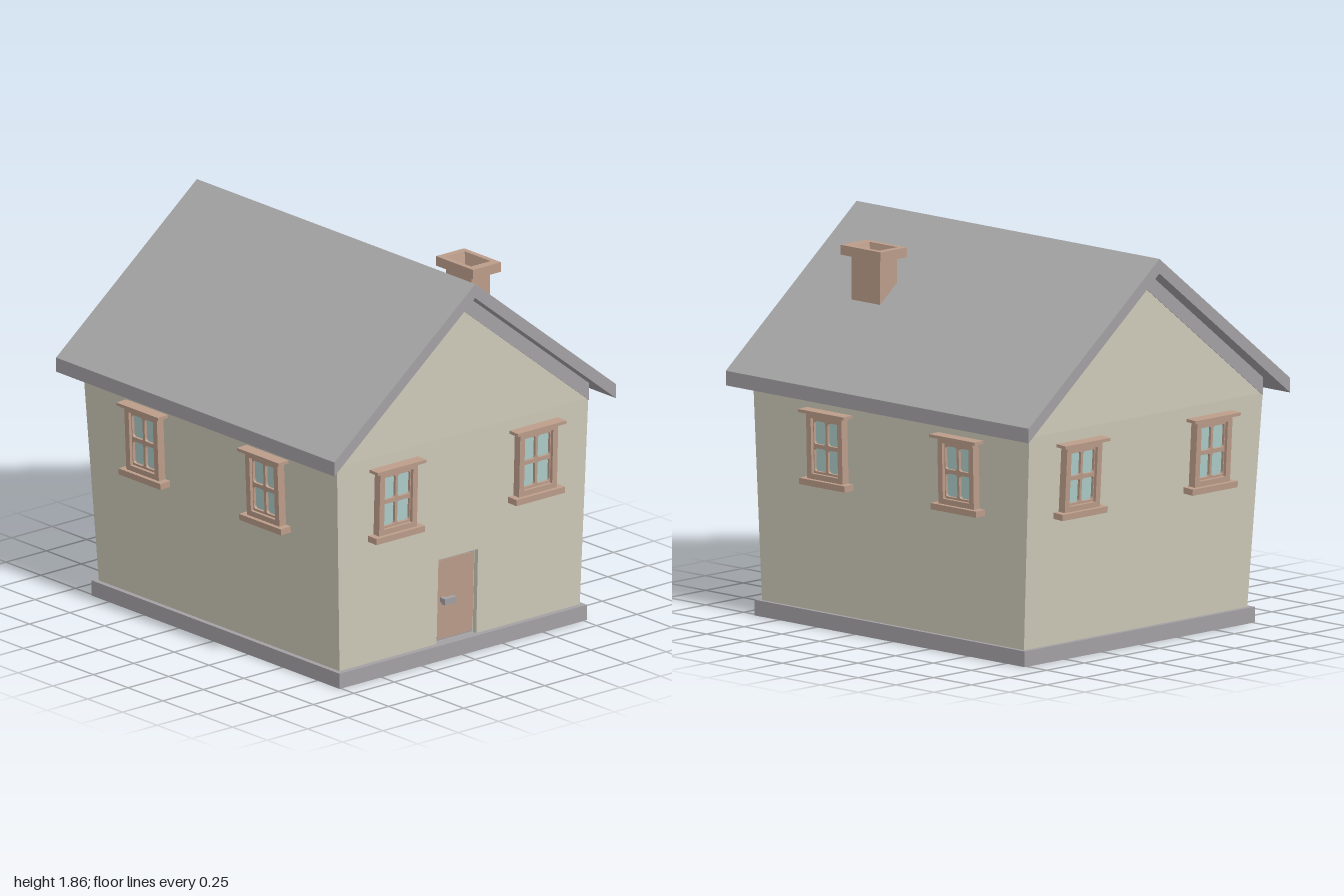
import * as THREE from 'three';

const mat = (name, color) => {
  const m = new THREE.MeshStandardMaterial({ color });
  m.name = name;
  return m;
};

const polygon = (pts) => new THREE.Shape(pts.map(([x, y]) => new THREE.Vector2(x, y)));
const rect = (x0, y0, x1, y1) => [[x0, y0], [x1, y0], [x1, y1], [x0, y1]];

// Rounded rectangle outline
function roundRect(path, x0, y0, x1, y1, r) {
  path.moveTo(x0 + r, y0);
  path.lineTo(x1 - r, y0).quadraticCurveTo(x1, y0, x1, y0 + r);
  path.lineTo(x1, y1 - r).quadraticCurveTo(x1, y1, x1 - r, y1);
  path.lineTo(x0 + r, y1).quadraticCurveTo(x0, y1, x0, y1 - r);
  path.lineTo(x0, y0 + r).quadraticCurveTo(x0, y0, x0 + r, y0);
  return path;
}

// Extrude a shape from z0 to z1
function slab(shape, z0, z1) {
  const g = new THREE.ExtrudeGeometry(shape, { depth: z1 - z0, bevelEnabled: false, curveSegments: 3 });
  return g.translate(0, 0, z0);
}

function box(x0, x1, y0, y1, z0, z1) {
  return new THREE.BoxGeometry(x1 - x0, y1 - y0, z1 - z0)
    .translate((x0 + x1) / 2, (y0 + y1) / 2, (z0 + z1) / 2);
}

// Skin rectangular rings [halfX, halfZ, y, centreZ], closing the last one
function rectLoft(rings, cx) {
  const pos = [];
  const corner = ([hx, hz, y, cz], j) => {
    const [sx, sz] = [[-1, -1], [-1, 1], [1, 1], [1, -1]][j % 4];
    return [cx + sx * hx, y, cz + sz * hz];
  };
  const quad = (a, b, c, d) => pos.push(...a, ...b, ...c, ...a, ...c, ...d);
  for (let i = 0; i < rings.length - 1; i++) {
    for (let j = 0; j < 4; j++) {
      quad(corner(rings[i], j), corner(rings[i], j + 1), corner(rings[i + 1], j + 1), corner(rings[i + 1], j));
    }
  }
  const last = rings[rings.length - 1];
  quad(corner(last, 0), corner(last, 1), corner(last, 2), corner(last, 3));
  const g = new THREE.BufferGeometry();
  g.setAttribute('position', new THREE.Float32BufferAttribute(pos, 3));
  g.computeVertexNormals();
  return g;
}

// Lean of the front and back walls
const lean = (y) => Math.min(1, (y - 0.075) / 1.025);
const frontZ = (y) => 0.88 + 0.032 * lean(y);
const backZ = (y) => -0.85 - 0.06 * lean(y);

// Move the two faces of a unit-deep slab onto leaning planes
function leanSlab(shape, zBack, zFront) {
  const g = slab(shape, 0, 1);
  const p = g.attributes.position;
  for (let i = 0; i < p.count; i++) {
    p.setZ(i, p.getZ(i) > 0.5 ? zFront(p.getY(i)) : zBack(p.getY(i)));
  }
  g.computeVertexNormals();
  return g;
}

export function createModel() {
  const plaster = mat('cream plaster', 0xcdcab9);
  const stone = mat('grey stone', 0xa3a0a3);
  const slate = mat('roof grey', 0xa6a6a6);
  const wood = mat('red brown', 0xbb9c89);
  const glass = mat('pale glass', 0xadccc8);

  const house = new THREE.Group();
  house.name = 'house';
  const add = (parent, name, geometry, material) => {
    const m = new THREE.Mesh(geometry, material);
    m.name = name;
    parent.add(m);
    return m;
  };

  // Plinth, with a neutral underside
  add(house, 'plinth', box(-0.76, 0.77, 0, 0.075, -0.875, 0.91),
    [stone, stone, stone, slate, stone, stone]);

  // Walls: main body, then a front layer with the doorway cut out
  const recess = 0.025;
  const innerZ = (y) => frontZ(y) - recess;
  const b = 0.075, t = 1.1;
  add(house, 'walls', leanSlab(polygon([[-0.735, b], [0.75, b], [0.775, t], [-0.778, t]]), backZ, innerZ), plaster);
  add(house, 'frontWall', leanSlab(polygon([
    [-0.735, b], [-0.135, b], [-0.135, 0.495], [0.11, 0.495], [0.11, b], [0.75, b], [0.775, t], [-0.778, t],
  ]), innerZ, frontZ), plaster);
  add(house, 'gables', slab(polygon([[-0.775, t], [0.775, t], [0, 1.71]]), -0.91, 0.912), plaster);

  // Grey band under the roof
  const chevron = (hx, apexTop, apexBottom, slope) => polygon([
    [0, apexTop], [-hx, apexTop - slope * hx], [-hx, apexBottom - slope * hx],
    [0, apexBottom], [hx, apexBottom - slope * hx], [hx, apexTop - slope * hx],
  ]);
  const slope = 0.793;
  add(house, 'eavesBand', slab(chevron(0.778, 1.792, 1.705, slope), -0.913, 0.915), stone);

  // Roof slab and its covering
  add(house, 'roofSlab', slab(chevron(0.87, 1.856, 1.79, slope), -1, 1), stone);
  add(house, 'roofCovering', slab(chevron(0.87, 1.86, 1.856, slope), -1, 1), slate);

  // Chimney with a cap and tapering flue
  add(house, 'chimney', rectLoft([
    [0.057, 0.093, 1.45, 0.4975],
    [0.057, 0.093, 1.72, 0.4975],
    [0.087, 0.133, 1.72, 0.5025],
    [0.087, 0.133, 1.767, 0.5025],
    [0.06, 0.093, 1.767, 0.4975],
    [0.038, 0.058, 1.64, 0.4935],
  ], 0.3875), wood);

  // Window parts, centred on the opening and facing +z
  const frameShape = polygon(rect(-0.117, -0.155, 0.117, 0.162));
  frameShape.holes.push(new THREE.Path(rect(-0.087, -0.129, 0.087, 0.137).map(([x, y]) => new THREE.Vector2(x, y))));
  const sashShape = polygon(rect(-0.087, -0.129, 0.087, 0.137));
  for (const x of [-0.083, 0.007]) {
    for (const y of [-0.119, 0.012]) {
      sashShape.holes.push(roundRect(new THREE.Path(), x, y, x + 0.076, y + 0.111, 0.014));
    }
  }
  const windowParts = [
    ['windowFrame', slab(frameShape, -0.01, 0.04), wood],
    ['windowSash', slab(sashShape, -0.01, 0.024), wood],
    ['windowGlass', box(-0.087, 0.087, -0.129, 0.137, 0.002, 0.01), glass],
    ['windowSill', box(-0.15, 0.15, -0.185, -0.155, -0.01, 0.06), wood],
    ['windowLintel', box(-0.15, 0.15, 0.16, 0.175, -0.01, 0.06), wood],
  ];
  const addWindow = (name, x, z, turn, tilt) => {
    const w = new THREE.Group();
    w.name = name;
    w.position.set(x, 0.87, z);
    w.rotation.set(tilt, turn, 0, 'YXZ');
    for (const [part, geometry, material] of windowParts) add(w, part, geometry, material);
    house.add(w);
  };
  for (const x of [-0.425, 0.44]) {
    addWindow('frontWindow', x, frontZ(0.87), 0, 0.03);
    addWindow('backWindow', x, backZ(0.87), Math.PI, 0.058);
  }
  for (const z of [0.41, -0.457]) {
    addWindow('rightWindow', 0.769, z, Math.PI / 2, 0.025);
    addWindow('leftWindow', -0.769, z, -Math.PI / 2, 0.042);
  }

  // Door: worn grey backing, rounded panel and handle
  const door = new THREE.Group();
  door.name = 'door';
  door.position.set(0, b, innerZ(b));
  door.rotation.x = 0.031;
  add(door, 'doorBacking', box(-0.125, 0.104, 0.004, 0.414, -0.002, 0.004), stone);
  add(door, 'doorPanel', slab(roundRect(new THREE.Shape(), -0.123, 0.014, 0.1, 0.408, 0.025), 0.002, 0.009), wood);
  add(door, 'handleStem', box(-0.105, -0.085, 0.2, 0.224, 0, 0.04), stone);
  add(door, 'handleGrip', box(-0.113, -0.04, 0.196, 0.227, 0.03, 0.052), stone);
  house.add(door);

  return house;
}
